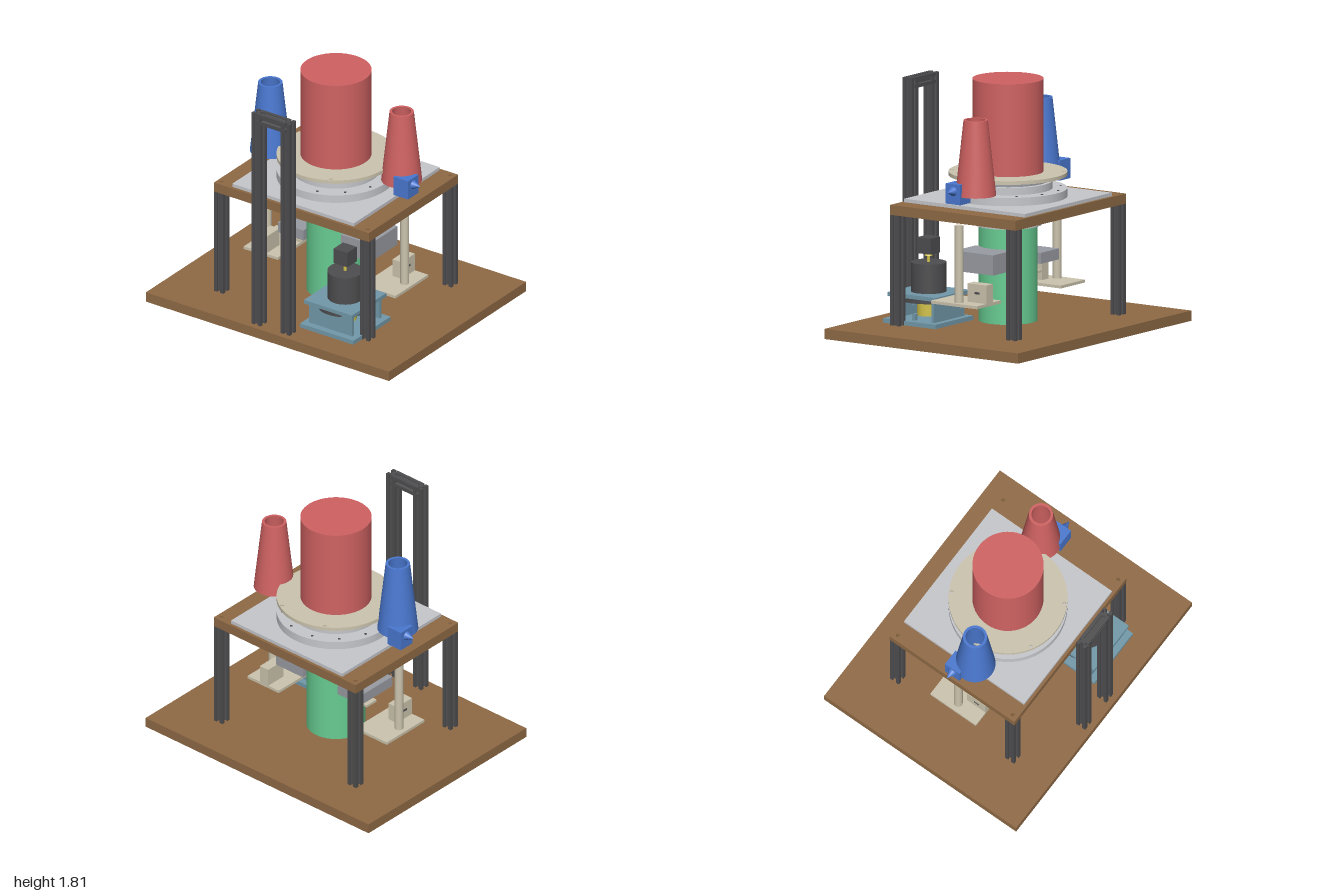
import * as THREE from 'three';

const mat = (name, color) => {
  const m = new THREE.MeshStandardMaterial({ color });
  m.name = name;
  return m;
};

export function createModel() {
  const model = new THREE.Group();
  model.name = 'testRig';
  const wood = mat('wood', 0x8f6a45), red = mat('red', 0xd06262), blue = mat('blue', 0x4a78d0);
  const green = mat('green', 0x68cc92), silver = mat('silver', 0xc6c7cc), grey = mat('grey', 0x999ca3);
  const dark = mat('charcoal', 0x4e4e50), beige = mat('beige', 0xccc4ae);
  const steel = mat('steelBlue', 0x7299aa), yellow = mat('yellow', 0xd2c24a);

  const add = (name, geo, material, x = 0, y = 0, z = 0, parent = model) => {
    const mesh = new THREE.Mesh(geo, material);
    mesh.name = name;
    mesh.position.set(x, y, z);
    parent.add(mesh);
    return mesh;
  };
  // box given by its minimum and maximum on each axis
  const box = (name, material, [x0, x1], [y0, y1], [z0, z1], parent = model) =>
    add(name, new THREE.BoxGeometry(x1 - x0, y1 - y0, z1 - z0), material,
      (x0 + x1) / 2, (y0 + y1) / 2, (z0 + z1) / 2, parent);
  // upright cylinder between two heights
  const cyl = (name, material, r, y0, y1, x = 0, z = 0, parent = model, rTop = r, seg = 48) =>
    add(name, new THREE.CylinderGeometry(rTop, r, y1 - y0, seg), material, x, (y0 + y1) / 2, z, parent);
  // flat shape raised from y0 to y1
  const slab = (name, material, shape, y0, y1, x = 0, z = 0) => {
    const geo = new THREE.ExtrudeGeometry(shape, { depth: y1 - y0, bevelEnabled: false, curveSegments: 48 });
    geo.rotateX(-Math.PI / 2);
    return add(name, geo, material, x, y0, z);
  };
  const punch = (shape, x, y, r) => shape.holes.push(new THREE.Path().absarc(x, y, r, 0, Math.PI * 2, true));
  const rect = (x0, x1, y0, y1) => new THREE.Shape(
    [[x0, y0], [x1, y0], [x1, y1], [x0, y1]].map((p) => new THREE.Vector2(...p)));

  // slotted beam section: one side's outline turned four times
  const side = [[-0.0375, -0.0375], [-0.013, -0.0375], [-0.013, -0.029], [-0.02, -0.029], [-0.011, -0.016],
    [0.011, -0.016], [0.02, -0.029], [0.013, -0.029], [0.013, -0.0375]];
  const section = [];
  for (let k = 0; k < 4; k++) {
    for (const p of side) {
      section.push(new THREE.Vector2(...p).rotateAround(new THREE.Vector2(), k * Math.PI / 2));
    }
  }
  const beam = new THREE.Shape(section);

  // boards
  box('baseBoard', wood, [-1, 1], [0.085, 0.155], [-0.8, 0.8]);
  const top = rect(-0.637, 0.637, -0.52, 0.52);
  for (const x of [-0.6, 0.6]) for (const z of [-0.48, 0.48]) {
    punch(top, x, z, 0.012);
    slab('tableLeg', dark, beam, 0.155, 0.91, x, z);
  }
  slab('tableTop', wood, top, 0.91, 0.978);

  // gantry
  for (const x of [-0.122, 0.118]) slab('gantryPost', dark, beam, 0.155, 1.755, x, 0.722);
  const barGeo = new THREE.ExtrudeGeometry(beam, { depth: 0.24, bevelEnabled: false });
  barGeo.rotateY(Math.PI / 2);
  add('gantryCrossbar', barGeo, dark, -0.122, 1.7175, 0.722);

  // central column and bearing
  cyl('lowerTank', green, 0.2, 0.025, 0.83);
  cyl('drainPin', dark, 0.006, 0, 0.025, 0, 0, model, 0.006, 12);
  cyl('gearRing', silver, 0.23, 0.81, 0.857);
  cyl('gearCore', dark, 0.212, 0.857, 0.89);
  for (let i = 0; i < 60; i++) {
    const a = i / 60 * Math.PI * 2;
    add('gearTooth', new THREE.BoxGeometry(0.015, 0.033, 0.015), silver,
      0.216 * Math.sin(a), 0.8735, 0.216 * Math.cos(a)).rotation.y = a;
  }
  cyl('underFlange', dark, 0.325, 0.89, 0.91);

  // stepped turntable
  box('turntablePlate', silver, [-0.5, 0.5], [0.978, 1.002], [-0.5, 0.5]);
  cyl('lowerStep', silver, 0.4, 1.002, 1.058, 0, 0, model, 0.4, 64);
  cyl('middleStep', silver, 0.3, 1.058, 1.108);
  cyl('upperStep', grey, 0.27, 1.108, 1.147);
  for (let i = 0; i < 12; i++) {
    const a = (i + 0.5) / 12 * Math.PI * 2;
    cyl('turntableBolt', dark, 0.009, 1.056, 1.061, 0.36 * Math.sin(a), 0.36 * Math.cos(a), model, 0.009, 12);
  }
  const disc = new THREE.Shape().absarc(0, 0, 0.4, 0, Math.PI * 2);
  for (const x of [-0.19, 0.19]) for (const z of [-0.33, 0.33]) punch(disc, x, z, 0.011);
  slab('carrierDisc', beige, disc, 1.147, 1.172);
  cyl('upperDrum', red, 0.24, 1.172, 1.805);

  // hollow cones, sensor blocks and brackets, repeated half a turn round
  for (const [name, angle, paint] of [['left', 0, red], ['right', Math.PI, blue]]) {
    const g = new THREE.Group();
    g.name = name + 'Station';
    g.rotation.y = angle;
    model.add(g);
    // each straight run of the wall is its own lathe so the rims stay sharp
    const wall = [[0.12, 1.085], [0.138, 1.085], [0.082, 1.6], [0.064, 1.6], [0.12, 1.085]];
    for (let i = 0; i < 4; i++) {
      const pts = [wall[i], wall[i + 1]].map((p) => new THREE.Vector2(...p));
      add('hollowCone', new THREE.LatheGeometry(pts, 40), paint, 0.484, 0, -0.08, g);
    }
    box('sensorBlock', blue, [0.515, 0.635], [1.035, 1.173], [-0.06, 0.06], g);
    add('sensorTip', new THREE.ConeGeometry(0.032, 0.06, 24), blue, 0.665, 1.123, 0, g).rotation.z = -Math.PI / 2;
    box('bracketPlate', beige, [0.345, 0.625], [0.337, 0.357], [-0.19, 0.19], g);
    cyl('bracketPost', beige, 0.03, 0.357, 0.882, 0.565, 0, g, 0.03, 24);
    box('bracketBlock', beige, [0.44, 0.515], [0.357, 0.483], [-0.19, -0.035], g);
    box('bracketSlot', dark, [0.512, 0.517], [0.415, 0.43], [-0.135, -0.095], g);
  }
  box('looseShelf', beige, [-0.32, -0.245], [0.438, 0.455], [-0.05, 0.05]);
  box('leftCase', grey, [0.155, 0.395], [0.53, 0.668], [-0.16, 0.16]);
  box('rightCase', grey, [-0.365, -0.155], [0.53, 0.605], [-0.16, 0.16]);

  // motor stand with notched end panels
  box('standBase', steel, [0.14, 0.58], [0.155, 0.185], [0.185, 0.617]);
  box('standTop', steel, [0.16, 0.555], [0.335, 0.362], [0.2, 0.6]);
  const panel = new THREE.Shape([[0.18, 0.185], [0.535, 0.185], [0.535, 0.335], [0.445, 0.335], [0.445, 0.305],
    [0.27, 0.305], [0.27, 0.335], [0.18, 0.335]].map((p) => new THREE.Vector2(...p)));
  for (const z of [0.23, 0.55]) {
    add('standPanel', new THREE.ExtrudeGeometry(panel, { depth: 0.02, bevelEnabled: false }), steel, 0, 0, z);
  }
  for (const [y0, y1] of [[0.185, 0.228], [0.29, 0.335]]) {
    box('standTab', steel, [0.5, 0.53], [y0, y1], [0.39, 0.412]);
  }

  // motor
  cyl('motorFlange', dark, 0.193, 0.305, 0.335, 0.358, 0.4);
  cyl('motorBody', dark, 0.12, 0.362, 0.562, 0.358, 0.4);
  cyl('lowerPulley', yellow, 0.078, 0.2, 0.305, 0.358, 0.4);
  cyl('motorShaft', yellow, 0.011, 0.562, 0.605, 0.358, 0.4, model, 0.011, 16);
  cyl('shaftCoupler', yellow, 0.027, 0.605, 0.625, 0.358, 0.4, model, 0.014, 24);
  box('encoder', dark, [0.302, 0.415], [0.623, 0.732], [0.345, 0.455]);

  return model;
}
